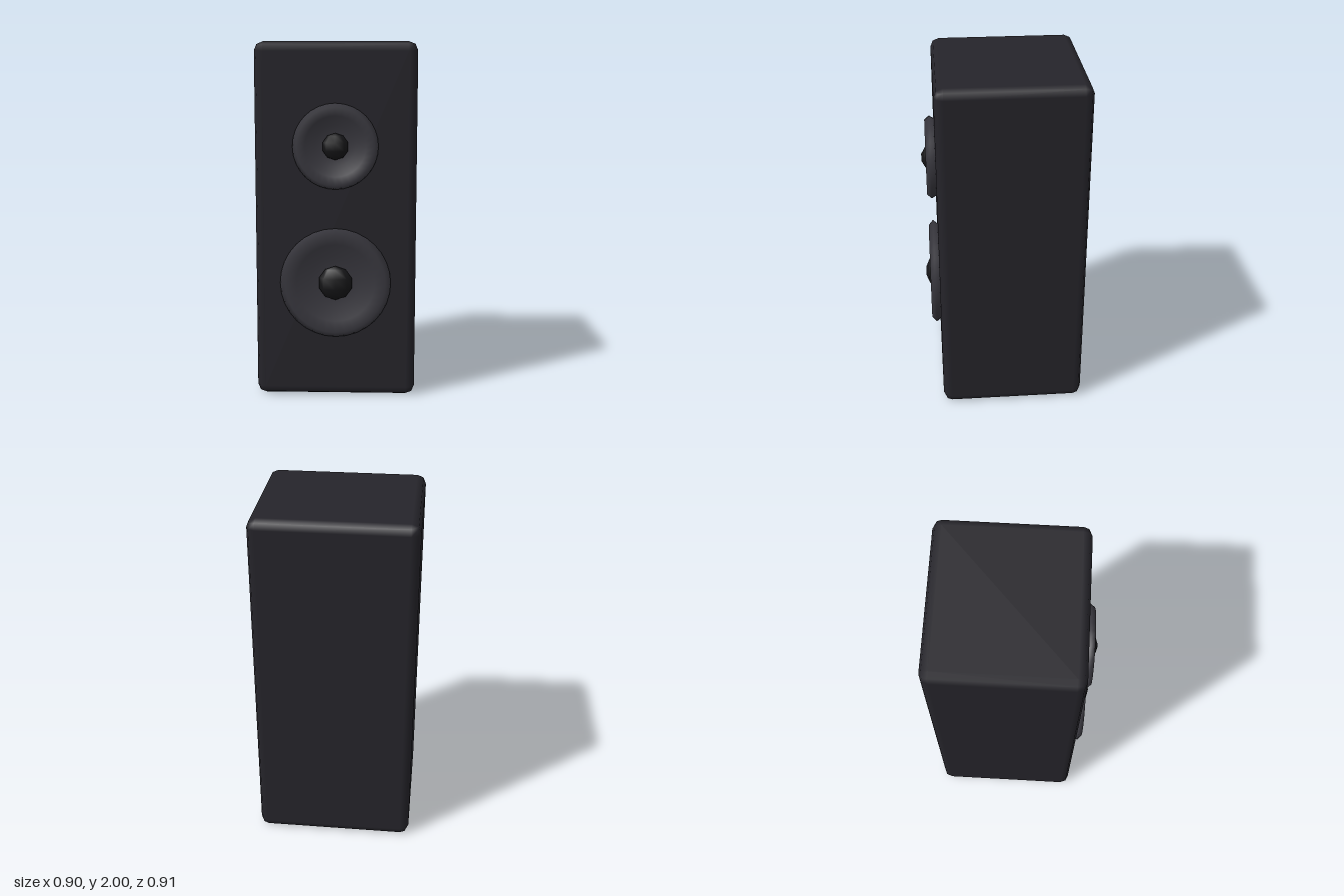
import * as THREE from 'three';
import { RoundedBoxGeometry } from 'three/addons/geometries/RoundedBoxGeometry.js';

const bodyMat = new THREE.MeshStandardMaterial({ color: 0x25242a });
const coneMat = new THREE.MeshStandardMaterial({ color: 0x39383f });
const capMat = new THREE.MeshStandardMaterial({ color: 0x161618 });

// Dished cone with a bevelled rim, and a low-poly dust cap in its centre
function createDriver(name, y, radius) {
  const driver = new THREE.Group();
  driver.name = name;

  const profile = [
    [0.27, -0.05], [0.31, 0], [0.28, 0.026],
    [0.22, 0.008], [0.15, -0.008], [0.09, -0.016], [0, -0.02],
  ].map(([r, h]) => new THREE.Vector2(r, h));
  const cone = new THREE.Mesh(new THREE.LatheGeometry(profile, 32).rotateX(Math.PI / 2), coneMat);
  cone.name = name + 'Cone';

  const cap = new THREE.Mesh(new THREE.SphereGeometry(0.097, 8, 5).scale(1, 1, 0.555), capMat);
  cap.name = name + 'DustCap';

  driver.add(cone, cap);
  driver.scale.set(radius / 0.31, radius / 0.31, 1);
  driver.position.set(0, y, 0.401);
  return driver;
}

export function createModel() {
  const model = new THREE.Group();
  model.name = 'loudspeaker';

  // Cabinet with softly bevelled edges
  const cabinet = new THREE.Mesh(new RoundedBoxGeometry(0.9, 2, 0.83, 1, 0.05), bodyMat);
  cabinet.name = 'cabinet';
  cabinet.position.set(0, 1, -0.04);

  model.add(cabinet, createDriver('tweeter', 1.43, 0.237), createDriver('woofer', 0.665, 0.31));
  return model;
}
